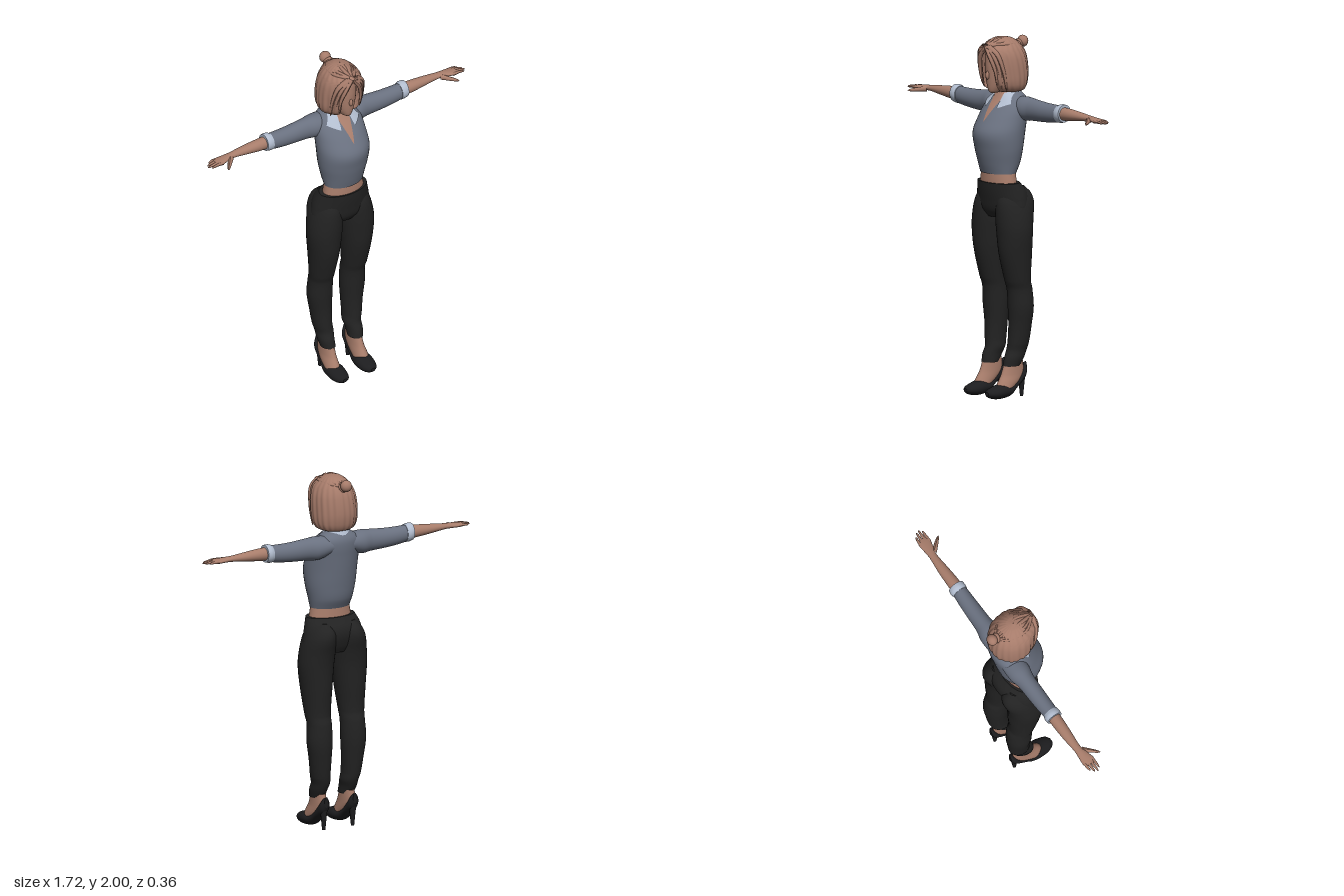
import * as THREE from 'three';

const mat = (name, color, side = THREE.FrontSide) => {
  const m = new THREE.MeshStandardMaterial({ color, side });
  m.name = name;
  return m;
};

// Smooth interpolation of section rows [s, a0, a1, b0, b1] at position s
function sectionAt(rows, s) {
  let i = 0;
  while (i < rows.length - 2 && s > rows[i + 1][0]) i++;
  const p = rows[i], q = rows[i + 1], o = rows[i - 1] || p, r = rows[i + 2] || q;
  const h = q[0] - p[0], t = Math.min(1, Math.max(0, (s - p[0]) / h));
  return [1, 2, 3, 4].map((k) => {
    const m0 = ((q[k] - o[k]) / (q[0] - o[0])) * h, m1 = ((r[k] - p[k]) / (r[0] - p[0])) * h;
    const t2 = t * t, t3 = t2 * t;
    return (2 * t3 - 3 * t2 + 1) * p[k] + (t3 - 2 * t2 + t) * m0 + (3 * t2 - 2 * t3) * q[k] + (t3 - t2) * m1;
  });
}

const AXES = {
  y: (s, a, b) => [a, s, b], // a = x, b = z
  x: (s, a, b) => [s, b, a], // a = z, b = y
  z: (s, a, b) => [b, a, s], // a = y, b = x
};

// Skin over oval sections; gap(s) leaves a half angle open at the front
function loft(axis, rows, { seg = 32, sub = 5, gap = null, ripple = null } = {}) {
  const pos = [], idx = [], map = AXES[axis], levels = [];
  rows.slice(0, -1).forEach((r, i) => {
    for (let k = 0; k < sub; k++) levels.push(r[0] + ((rows[i + 1][0] - r[0]) * k) / sub);
  });
  levels.push(rows[rows.length - 1][0]);
  const n = gap ? seg + 1 : seg;
  for (const s of levels) {
    const [a0, a1, b0, b1] = sectionAt(rows, s), g = gap ? gap(s) : 0;
    for (let j = 0; j < n; j++) {
      const th = g + ((2 * Math.PI - 2 * g) * j) / seg, f = ripple ? ripple(th, s) : 1;
      pos.push(...map(s, (a0 + a1) / 2 + ((a1 - a0) / 2) * f * Math.sin(th), (b0 + b1) / 2 + ((b1 - b0) / 2) * f * Math.cos(th)));
    }
  }
  for (let i = 0; i < levels.length - 1; i++)
    for (let j = 0; j < seg; j++) {
      const k = (j + 1) % n, a = i * n + j, b = i * n + k;
      idx.push(a, b, b + n, a, b + n, a + n);
    }
  if (!gap)
    [0, levels.length - 1].forEach((row, end) => {
      const base = pos.length / 3, [a0, a1, b0, b1] = sectionAt(rows, levels[row]);
      pos.push(...pos.slice(row * n * 3, (row + 1) * n * 3));
      pos.push(...map(levels[row], (a0 + a1) / 2, (b0 + b1) / 2));
      for (let j = 0; j < n; j++) {
        const k = (j + 1) % n;
        idx.push(base + n, base + (end ? j : k), base + (end ? k : j));
      }
    });
  return surface(pos, idx);
}

function surface(pos, idx) {
  const g = new THREE.BufferGeometry();
  g.setAttribute('position', new THREE.Float32BufferAttribute(pos, 3));
  g.setIndex(idx);
  g.computeVertexNormals();
  return g;
}

// Thin piece lying on the front of a loft; edges are rows [y, xLeft, xRight]
function patch(rows, edges, lift) {
  const pos = [], idx = [], n = 8, m = 6;
  edges.slice(0, -1).forEach((e, i) => {
    const f = edges[i + 1], base = pos.length / 3;
    for (let v = 0; v <= m; v++)
      for (let u = 0; u <= n; u++) {
        const [y, l, r] = e.map((c, k) => c + ((f[k] - c) * v) / m), x = l + ((r - l) * u) / n;
        const [, x1, z0, z1] = sectionAt(rows, y);
        pos.push(x, y, (z0 + z1) / 2 + ((z1 - z0) / 2) * Math.sqrt(Math.max(0, 1 - (x / x1) ** 2)) + lift);
      }
    for (let v = 0; v < m; v++)
      for (let u = 0; u < n; u++) {
        const a = base + v * (n + 1) + u, b = a + n + 1;
        idx.push(a, a + 1, b + 1, a, b + 1, b);
      }
  });
  return surface(pos, idx);
}

// Tube whose thickness runs from r0 to r1, with a rounded tip
function taper(points, r0, r1, n = 14) {
  const curve = new THREE.CatmullRomCurve3(points.map((p) => new THREE.Vector3(...p)));
  const g = new THREE.TubeGeometry(curve, n, 1, 8), p = g.attributes.position, v = new THREE.Vector3();
  for (let i = 0; i < p.count; i++) {
    const t = Math.floor(i / 9) / n, c = curve.getPointAt(t);
    const r = (r0 + (r1 - r0) * t) * Math.sqrt(Math.max(0, 1 - t ** 8));
    p.setXYZ(i, ...v.fromBufferAttribute(p, i).sub(c).multiplyScalar(r).add(c).toArray());
  }
  g.computeVertexNormals();
  return g;
}

function mirrored(geo) {
  const g = geo.clone().scale(-1, 1, 1), ix = g.index.array;
  for (let i = 0; i < ix.length; i += 3) [ix[i], ix[i + 1]] = [ix[i + 1], ix[i]];
  g.computeVertexNormals();
  return g;
}

export function createModel() {
  const model = new THREE.Group();
  const skin = mat('skin', 0xa87d6b), hair = mat('hair', 0xa67b6a, THREE.DoubleSide);
  const shirt = mat('shirt blue', 0x6a7180), trim = mat('pale trim', 0xb2bdcf, THREE.DoubleSide);
  const black = mat('trouser black', 0x222222), shoe = mat('shoe black', 0x1d1d1f);
  const add = (name, geo, m) => {
    const mesh = new THREE.Mesh(geo, m);
    mesh.name = name;
    model.add(mesh);
    return mesh;
  };
  const pair = (name, geo, m) => {
    add('left ' + name, geo, m);
    add('right ' + name, mirrored(geo), m);
  };

  // Torso and shirt
  const torso = [
    [1.245, -0.118, 0.118, -0.06, 0.108], [1.3, -0.13, 0.13, -0.088, 0.125], [1.38, -0.146, 0.146, -0.105, 0.145],
    [1.47, -0.153, 0.153, -0.12, 0.157], [1.55, -0.15, 0.15, -0.132, 0.115], [1.61, -0.145, 0.145, -0.14, 0.07],
    [1.65, -0.125, 0.125, -0.138, 0.035], [1.685, -0.075, 0.075, -0.12, 0.01], [1.7, -0.05, 0.05, -0.1, 0],
  ];
  add('shirt body', loft('y', torso, { seg: 40 }), shirt);
  add('open neckline', patch(torso, [[1.535, -0.002, 0.002], [1.61, -0.024, 0.024], [1.69, -0.048, 0.048]], 0.004), skin);
  pair('collar flap', patch(torso, [[1.61, 0.046, 0.052], [1.635, 0.04, 0.108], [1.69, 0.035, 0.07]], 0.009), trim);
  add('collar band', loft('y', [[1.66, -0.092, 0.092, -0.134, 0.025], [1.69, -0.066, 0.066, -0.12, 0.01], [1.715, -0.056, 0.056, -0.108, 0]], { gap: () => 0.7 }), trim);
  add('midriff', loft('y', [[1.15, -0.135, 0.135, -0.06, 0.1], [1.2, -0.125, 0.125, -0.058, 0.102], [1.28, -0.11, 0.11, -0.055, 0.1]]), skin);

  // Arms
  pair('sleeve', loft('x', [
    [0.06, -0.13, 0, 1.565, 1.665], [0.14, -0.128, 0, 1.54, 1.672], [0.2, -0.115, -0.012, 1.545, 1.668],
    [0.3, -0.11, -0.015, 1.55, 1.66], [0.38, -0.106, -0.017, 1.557, 1.658], [0.45, -0.1, -0.02, 1.568, 1.66],
  ]), shirt);
  pair('cuff', loft('x', [[0.43, -0.104, -0.016, 1.564, 1.662], [0.45, -0.11, -0.014, 1.564, 1.668], [0.472, -0.107, -0.016, 1.569, 1.667]], { sub: 3 }), trim);
  pair('forearm', loft('x', [
    [0.45, -0.096, -0.026, 1.578, 1.653], [0.52, -0.095, -0.028, 1.583, 1.65], [0.6, -0.092, -0.034, 1.592, 1.643],
    [0.69, -0.084, -0.04, 1.602, 1.634], [0.73, -0.086, -0.03, 1.602, 1.631], [0.78, -0.09, -0.018, 1.602, 1.626],
    [0.805, -0.084, -0.024, 1.604, 1.622],
  ]), skin);
  [[-0.079, 0.835], [-0.061, 0.855], [-0.043, 0.862], [-0.026, 0.847]].forEach(([z, tip], i) =>
    pair('finger ' + (i + 1), taper([[0.77, 1.614, z], [0.81, 1.615, z], [tip, 1.61, z * 0.95]], 0.0095, 0.006), skin));
  pair('thumb', taper([[0.705, 1.613, -0.045], [0.74, 1.608, -0.005], [0.775, 1.603, 0.034]], 0.016, 0.007), skin);

  // Trousers
  add('hips', loft('y', [
    [1.0, -0.12, 0.12, -0.085, 0.07], [1.04, -0.18, 0.18, -0.105, 0.092], [1.1, -0.178, 0.178, -0.12, 0.102],
    [1.15, -0.165, 0.165, -0.11, 0.108], [1.195, -0.148, 0.148, -0.068, 0.11],
  ], { seg: 40 }), black);
  pair('trouser leg', loft('y', [
    [0.175, 0.052, 0.132, -0.045, 0.058], [0.22, 0.05, 0.14, -0.072, 0.048], [0.26, 0.042, 0.142, -0.09, 0.03],
    [0.3, 0.045, 0.152, -0.1, 0.025], [0.4, 0.042, 0.166, -0.112, 0.02], [0.5, 0.037, 0.18, -0.12, 0.025],
    [0.6, 0.038, 0.175, -0.113, 0.032], [0.65, 0.036, 0.18, -0.1, 0.048], [0.8, 0.02, 0.195, -0.105, 0.085],
    [0.92, 0.008, 0.206, -0.108, 0.097], [1.0, 0.002, 0.199, -0.118, 0.1], [1.08, 0.004, 0.18, -0.135, 0.096],
    [1.13, 0.015, 0.155, -0.125, 0.08], [1.17, 0.05, 0.12, -0.085, 0.05],
  ]), black);

  // Feet and heeled shoes
  pair('foot', loft('y', [
    [0.05, 0.055, 0.137, 0.01, 0.12], [0.09, 0.056, 0.134, -0.045, 0.098], [0.13, 0.058, 0.128, -0.075, 0.075],
    [0.2, 0.06, 0.124, -0.07, 0.05],
  ]), skin);
  pair('shoe', loft('z', [
    [-0.094, 0.13, 0.19, 0.08, 0.105], [-0.08, 0.1, 0.182, 0.064, 0.122], [-0.05, 0.075, 0.142, 0.06, 0.128],
    [-0.01, 0.045, 0.1, 0.058, 0.132], [0.03, 0.012, 0.076, 0.05, 0.14], [0.08, 0, 0.082, 0.041, 0.146],
    [0.13, 0, 0.068, 0.046, 0.141], [0.165, 0.01, 0.055, 0.06, 0.126], [0.18, 0.022, 0.042, 0.08, 0.108],
  ]), shoe);
  pair('stiletto heel', new THREE.CylinderGeometry(0.022, 0.009, 0.13, 14).translate(0.093, 0.065, -0.066), shoe);

  // Head
  add('neck', loft('y', [[1.62, -0.06, 0.06, -0.1, 0.01], [1.69, -0.046, 0.046, -0.09, 0.008], [1.79, -0.046, 0.046, -0.085, 0.02]]), skin);
  add('face', loft('y', [
    [1.69, -0.016, 0.016, 0.025, 0.075], [1.7, -0.03, 0.03, -0.01, 0.086], [1.74, -0.056, 0.056, -0.06, 0.094],
    [1.8, -0.074, 0.074, -0.095, 0.099], [1.86, -0.08, 0.08, -0.105, 0.1], [1.92, -0.07, 0.07, -0.095, 0.09], [1.96, -0.03, 0.03, -0.05, 0.04],
  ]), skin);
  add('nose', new THREE.SphereGeometry(1, 14, 10).scale(0.011, 0.023, 0.013).translate(0, 1.79, 0.099), skin);

  // Bobbed hair, open over the face, with combed ridges and a small bun
  add('hair', loft('y', [
    [1.695, -0.085, 0.085, -0.115, 0.04], [1.705, -0.105, 0.105, -0.132, 0.068], [1.74, -0.122, 0.122, -0.148, 0.1],
    [1.8, -0.126, 0.126, -0.156, 0.117], [1.88, -0.12, 0.12, -0.148, 0.126], [1.93, -0.103, 0.103, -0.13, 0.122],
    [1.965, -0.075, 0.075, -0.1, 0.085], [1.99, -0.04, 0.04, -0.055, 0.04], [1.998, -0.002, 0.002, -0.01, -0.005],
  ], {
    seg: 120,
    gap: (y) => 0.5 * Math.sqrt(Math.min(1, Math.max(0, (1.93 - y) / 0.09))),
    ripple: (th, y) => 1 + 0.016 * Math.cos(22 * th + 9 * y) + 0.01 * Math.cos(9 * th),
  }), hair);
  [0, 1, 2].forEach((i) => pair('front lock ' + (i + 1), taper([
    [0.004 + 0.008 * i, 1.95, 0.108], [0.042 + 0.016 * i, 1.9 + 0.006 * i, 0.116 - 0.012 * i],
    [0.066 + 0.016 * i, 1.82, 0.098 - 0.016 * i], [0.066 + 0.016 * i, 1.735 - 0.015 * i, 0.082 - 0.02 * i],
  ], 0.017, 0.006, 20), hair));
  [0.25, 0.7, 1.15].forEach((a, i) => pair('crown strand ' + (i + 1), taper([
    [0.015 * Math.sin(a), 1.955, 0.1], [0.07 * Math.sin(a), 1.985 - 0.012 * i, 0.03],
    [0.06 * Math.sin(a), 1.972 - 0.008 * i, -0.07], [0.01, 1.95, -0.125],
  ], 0.012, 0.009, 18), hair));
  add('hair bun', new THREE.SphereGeometry(0.033, 20, 14).scale(1, 1, 0.9).translate(0, 1.957, -0.15), hair);
  const tie = add('bun base', new THREE.TorusGeometry(0.02, 0.01, 8, 18), hair);
  tie.position.set(0, 1.945, -0.122);
  tie.rotation.x = 0.4;

  return model;
}
